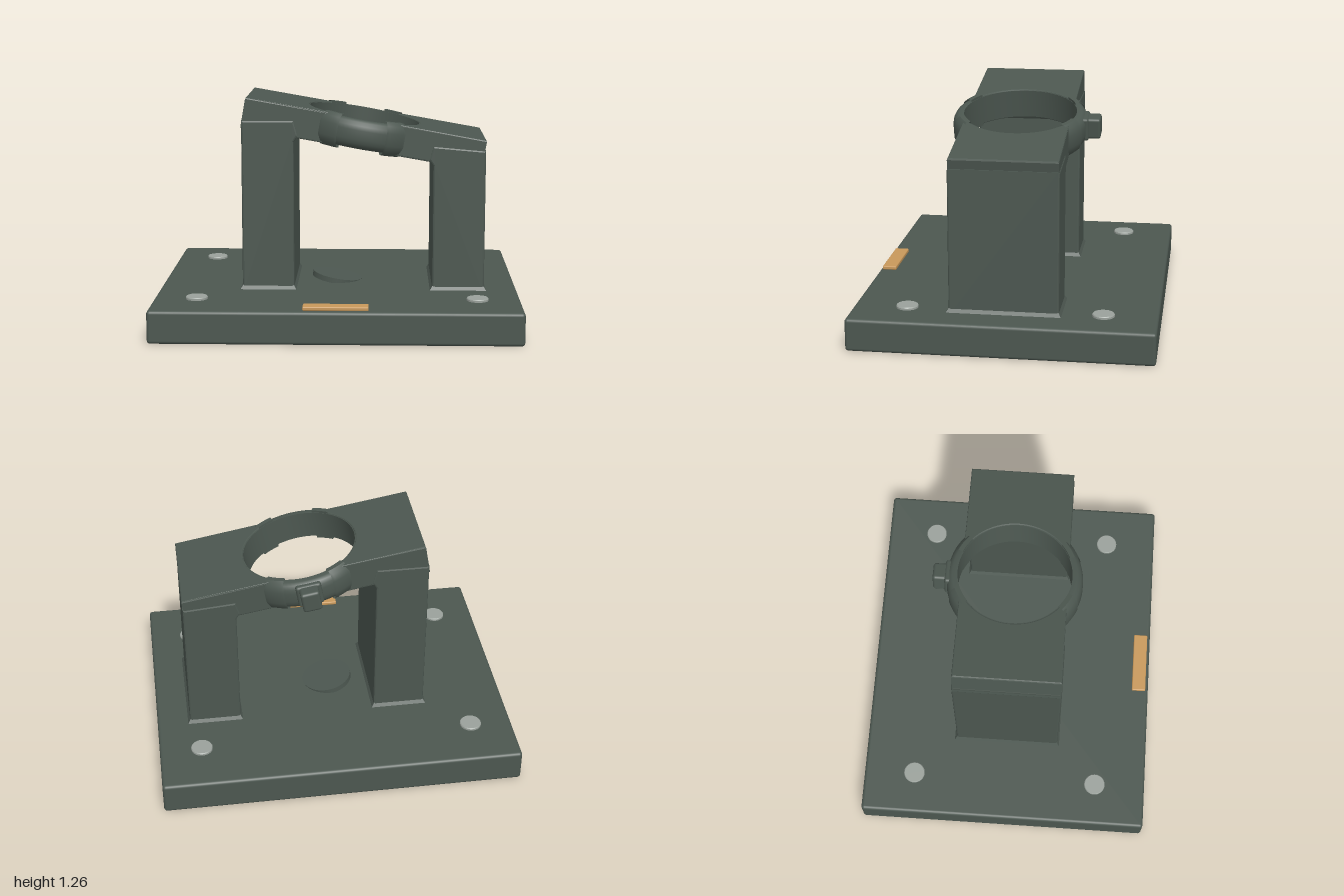
import * as THREE from 'three';
import { RoundedBoxGeometry } from 'three/addons/geometries/RoundedBoxGeometry.js';
import { toCreasedNormals } from 'three/addons/utils/BufferGeometryUtils.js';

const mat = (color, side = THREE.FrontSide) => new THREE.MeshStandardMaterial({ color, side });
const dark = mat(0x4c5750), darkOpen = mat(0x4c5750, THREE.DoubleSide);
const steel = mat(0x9aa19b), brass = mat(0xc8985a);
const TILT = -Math.PI / 18;

function add(parent, name, geometry, material, x = 0, y = 0, z = 0) {
  const mesh = new THREE.Mesh(geometry, material);
  mesh.name = name;
  mesh.position.set(x, y, z);
  parent.add(mesh);
  return mesh;
}

// Extrudes an outline with softened edges, staying inside the given size
function softExtrude(points, depth, bevel) {
  const shape = new THREE.Shape(points.map(([x, y]) => new THREE.Vector2(x, y)));
  return new THREE.ExtrudeGeometry(shape, {
    depth: depth - 2 * bevel, bevelEnabled: true, bevelSize: bevel, bevelThickness: bevel,
    bevelOffset: -bevel, bevelSegments: 2, curveSegments: 12,
  }).translate(0, 0, bevel);
}

// Revolves a closed cross-section around y
function ringPart(profile, segments, start = 0, sweep = Math.PI * 2) {
  const pts = [...profile, profile[0]].map(([r, y]) => new THREE.Vector2(r, y));
  return toCreasedNormals(new THREE.LatheGeometry(pts, segments, start, sweep), 0.6);
}

// Small flared skirt where a leg meets the base
function skirt(width, depth, height, flare) {
  const geo = new THREE.BoxGeometry(width, height, depth);
  const p = geo.attributes.position;
  for (let i = 0; i < p.count; i++) {
    if (p.getY(i) < 0) {
      p.setX(i, p.getX(i) + Math.sign(p.getX(i)) * flare);
      p.setZ(i, p.getZ(i) + Math.sign(p.getZ(i)) * flare);
    }
  }
  geo.computeVertexNormals();
  return geo;
}

export function createModel() {
  const model = new THREE.Group();
  model.name = 'tiltedRingStand';

  // Base plate with bolts and label plate
  add(model, 'base', new RoundedBoxGeometry(2, 0.18, 1.64, 3, 0.018), dark, 0, 0.09, 0);
  for (const x of [-0.765, 0.765]) {
    for (const z of [-0.528, 0.528]) {
      const profile = [[0, 0], [0.06, 0], [0.06, 0.011], [0.056, 0.016], [0, 0.016]]
        .map(([r, y]) => new THREE.Vector2(r, y));
      add(model, 'bolt', toCreasedNormals(new THREE.LatheGeometry(profile, 32), 0.6), steel, x, 0.179, z);
    }
  }
  add(model, 'labelPlate', new RoundedBoxGeometry(0.35, 0.022, 0.08, 2, 0.006), brass, 0, 0.194, 0.762);

  // Tilted disc set into the base below the ring
  const disc = add(model, 'baseDisc', new THREE.CylinderGeometry(0.142, 0.142, 0.03, 48), dark, -0.012, 0.19, 0);
  disc.rotation.z = TILT;

  // Two upright legs, each with a small fillet under the bridge
  const legs = {
    rightLeg: [[-0.535, 0.17], [-0.245, 0.17], [-0.245, 1.01], [-0.222, 1.045], [-0.245, 1.13], [-0.535, 1.13]],
    leftLeg: [[0.525, 0.17], [0.815, 0.17], [0.815, 0.965], [0.525, 0.99], [0.502, 0.915], [0.525, 0.88]],
  };
  for (const [name, outline] of Object.entries(legs)) {
    add(model, name, softExtrude(outline, 0.592, 0.01), dark, 0, 0, -0.296);
  }
  for (const x of [-0.39, 0.67]) {
    add(model, 'legSkirt', skirt(0.285, 0.587, 0.025, 0.016), dark, x, 0.19, 0);
  }

  // Tilted head: origin at the ring centre, level with the bridge top
  const head = new THREE.Group();
  head.name = 'tiltedHead';
  head.position.set(0.145, 1.141, 0);
  head.rotation.z = TILT;
  model.add(head);

  // Bridge halves, parted by the round opening
  const inner = 0.317, halfWidth = 0.292, thick = 0.172;
  const edge = Math.asin(halfWidth / inner);
  for (const [name, side, length] of [['leftBridge', 1, 0.685], ['rightBridge', -1, 0.665]]) {
    const outline = [[side * length, -halfWidth], [side * length, halfWidth]];
    for (let i = 0; i <= 32; i++) {
      const a = edge * (1 - i / 16);
      outline.push([side * inner * Math.cos(a), inner * Math.sin(a)]);
    }
    const geo = softExtrude(outline, thick, 0.008);
    geo.rotateX(-Math.PI / 2).translate(0, -thick, 0);
    add(head, name, geo, dark);
  }

  // Clamping ring with a rounded outer edge
  add(head, 'ring', ringPart([
    [0.314, -0.164], [0.342, -0.164], [0.36, -0.152], [0.371, -0.132], [0.375, -0.11],
    [0.375, -0.06], [0.371, -0.036], [0.36, -0.016], [0.342, -0.005], [0.314, -0.005],
  ], 96), dark);

  // Raised cuffs where the ring leaves the bridge
  for (const middle of [30, 150, 210, 330]) {
    const start = THREE.MathUtils.degToRad(middle - 9);
    add(head, 'ringCuff', ringPart([
      [0.316, -0.18], [0.343, -0.18], [0.366, -0.16], [0.378, -0.12],
      [0.378, -0.05], [0.366, -0.012], [0.343, 0.008], [0.316, 0.008],
    ], 8, start, Math.PI / 10), darkOpen);
  }

  // Tab at the back of the ring
  add(head, 'ringTab', new RoundedBoxGeometry(0.104, 0.118, 0.1, 3, 0.016), dark, 0, -0.08, -0.4);
  add(head, 'ringTabNeck', new RoundedBoxGeometry(0.14, 0.13, 0.04, 2, 0.014), dark, 0, -0.08, -0.364);

  return model;
}
